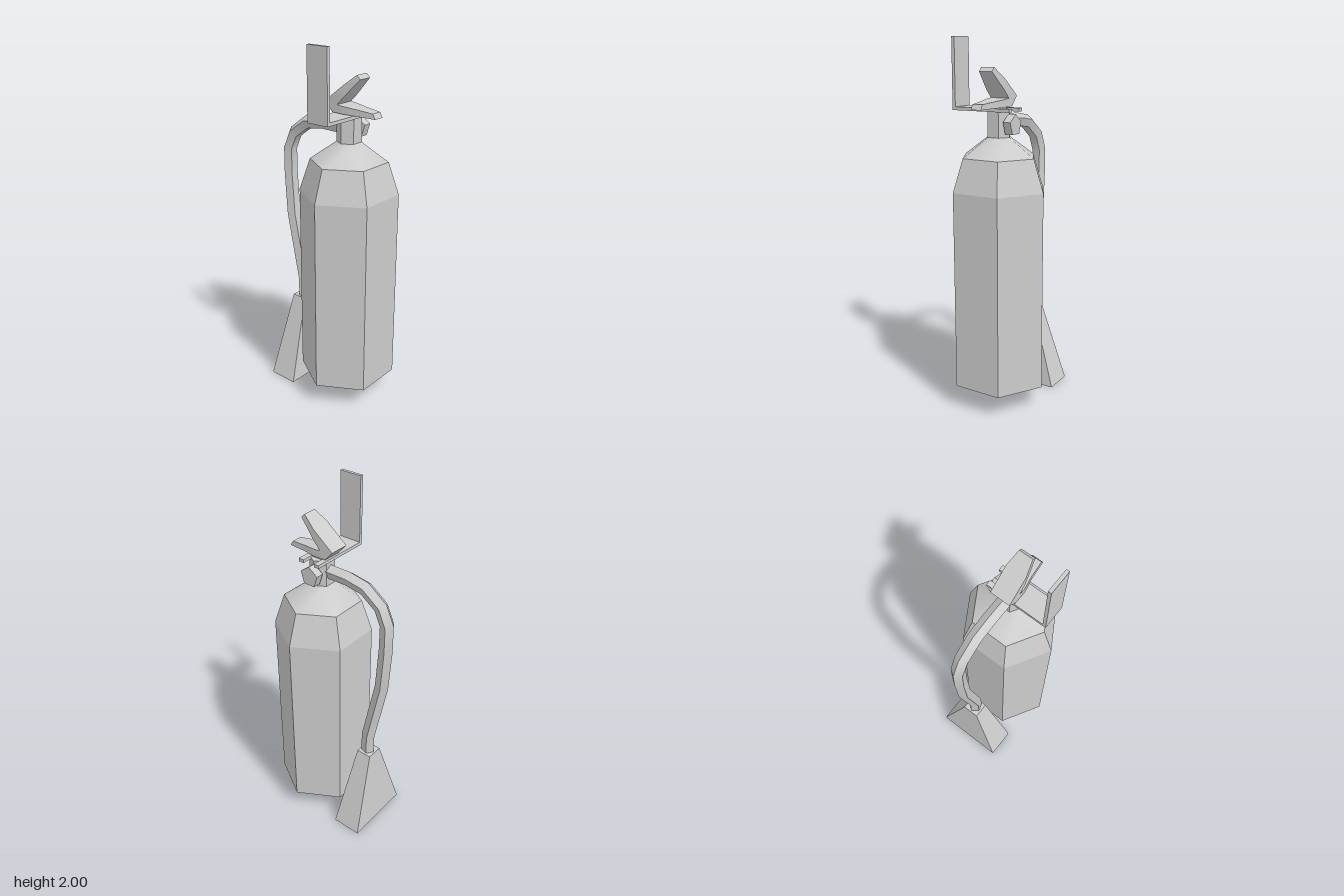
import * as THREE from 'three';
import { toCreasedNormals } from 'three/addons/utils/BufferGeometryUtils.js';

const CREASE = THREE.MathUtils.degToRad(40);
const TANK_Z = 0.117;

// Joins rings of [x, y, z] points (counter-clockwise about the path) into a capped solid
function loft(rings) {
  const n = rings[0].length, index = [];
  for (let r = 0; r < rings.length - 1; r++) {
    for (let i = 0; i < n; i++) {
      const a = r * n + i, b = r * n + (i + 1) % n;
      index.push(a, b, b + n, a, b + n, a + n);
    }
  }
  const last = (rings.length - 1) * n;
  for (let i = 1; i < n - 1; i++) {
    index.push(0, i + 1, i, last, last + i, last + i + 1);
  }
  const g = new THREE.BufferGeometry();
  g.setAttribute('position', new THREE.Float32BufferAttribute(rings.flat(2), 3));
  g.setIndex(index);
  return g;
}

export function createModel() {
  const model = new THREE.Group();
  const grey = new THREE.MeshStandardMaterial({ color: 0xcccccc });
  grey.name = 'light grey';

  function add(name, geometry, x = 0, y = 0, z = 0) {
    const mesh = new THREE.Mesh(toCreasedNormals(geometry, CREASE), grey);
    mesh.name = name;
    mesh.position.set(x, y, z);
    model.add(mesh);
  }

  // Six-sided tank, stacked bottom to top; each section keeps its own normals
  function hexSection(name, r0, r1, y0, y1, open = true) {
    const g = new THREE.CylinderGeometry(r1, r0, y1 - y0, 6, 1, open);
    g.rotateY(Math.PI / 2);
    g.scale(1, 1, 0.98);
    add(name, g, 0, (y0 + y1) / 2, TANK_Z);
  }
  hexSection('tankBody', 0.271, 0.271, 0.127, 1.212, false);
  hexSection('tankUpperBand', 0.271, 0.212, 1.212, 1.387);
  hexSection('tankShoulder', 0.212, 0.067, 1.387, 1.488);
  hexSection('neck', 0.067, 0.067, 1.488, 1.63, false);

  // Pressure gauge on the left of the neck, one corner up
  const gauge = new THREE.CylinderGeometry(0.057, 0.057, 0.044, 5);
  gauge.rotateX(-Math.PI / 2);
  gauge.rotateY(Math.PI / 2);
  add('gauge', gauge, 0.082, 1.553, TANK_Z);

  // Wall bracket: forked flat plate and upright plate
  const fork = new THREE.Shape([
    [-0.247, -0.183], [0.103, -0.183], [0.103, -0.152], [0, -0.152],
    [0, -0.083], [0.103, -0.083], [0.103, -0.053], [-0.247, -0.053],
  ].map(([x, y]) => new THREE.Vector2(x, y)));
  const forkPlate = new THREE.ExtrudeGeometry(fork, { depth: 0.018, bevelEnabled: false });
  forkPlate.rotateX(-Math.PI / 2);
  add('bracketPlate', forkPlate, 0, 1.621, 0);
  add('bracketUpright', new THREE.BoxGeometry(0.018, 0.379, 0.13), -0.238, 1.8105, 0.118);

  // Stem between the neck and the levers
  add('stem', new THREE.BoxGeometry(0.074, 0.07, 0.056), -0.005, 1.645, 0.121);

  // Levers: sections of [half width, lower z, lower y, upper z, upper y]
  const lever = (sections) => loft(sections.map(([w, z0, y0, z1, y1]) =>
    [[-w, y0, z0], [w, y0, z0], [w, y1, z1], [-w, y1, z1]]));
  add('carryHandle', lever([
    [0.056, 0.058, 1.645, 0.09, 1.687],
    [0.056, 0.13, 1.643, 0.13, 1.683],
    [0.041, 0.205, 1.641, 0.205, 1.675],
    [0.03, 0.313, 1.639, 0.297, 1.666],
  ]), -0.01);
  add('squeezeLever', lever([
    [0.056, 0.058, 1.645, 0.011, 1.698],
    [0.056, 0.09, 1.687, 0.06, 1.736],
    [0.056, 0.13, 1.728, 0.13, 1.79],
    [0.039, 0.223, 1.825, 0.202, 1.846],
  ]), -0.01);

  // Five-sided hose with its ridge on the outside of the bend; path of [y, z]
  const path = [
    [1.562, 0.08], [1.563, -0.058], [1.546, -0.166], [1.473, -0.267], [1.382, -0.308],
    [1.236, -0.308], [0.992, -0.292], [0.607, -0.214], [0.48, -0.212],
  ].map(([y, z]) => new THREE.Vector2(y, z));
  const R = 0.039;
  const hoseRings = path.map((p, i) => {
    const before = path[Math.max(i - 1, 0)], after = path[Math.min(i + 1, path.length - 1)];
    const t = new THREE.Vector2();
    if (i > 0) t.add(p.clone().sub(before).normalize());
    if (i < path.length - 1) t.add(after.clone().sub(p).normalize());
    t.normalize();
    return Array.from({ length: 5 }, (_, k) => {
      const a = k * Math.PI * 2 / 5, out = R * Math.cos(a);
      return [R * Math.sin(a), p.x - t.y * out, p.y + t.x * out];
    });
  });
  add('hose', loft(hoseRings));

  // Flared rectangular nozzle
  const rect = (w, d, y) => [[-w, y, -d], [-w, y, d], [w, y, d], [w, y, -d]];
  add('nozzle', loft([rect(0.203, 0.085, 0), rect(0.047, 0.044, 0.488)]), 0, 0, -0.216);

  return model;
}
